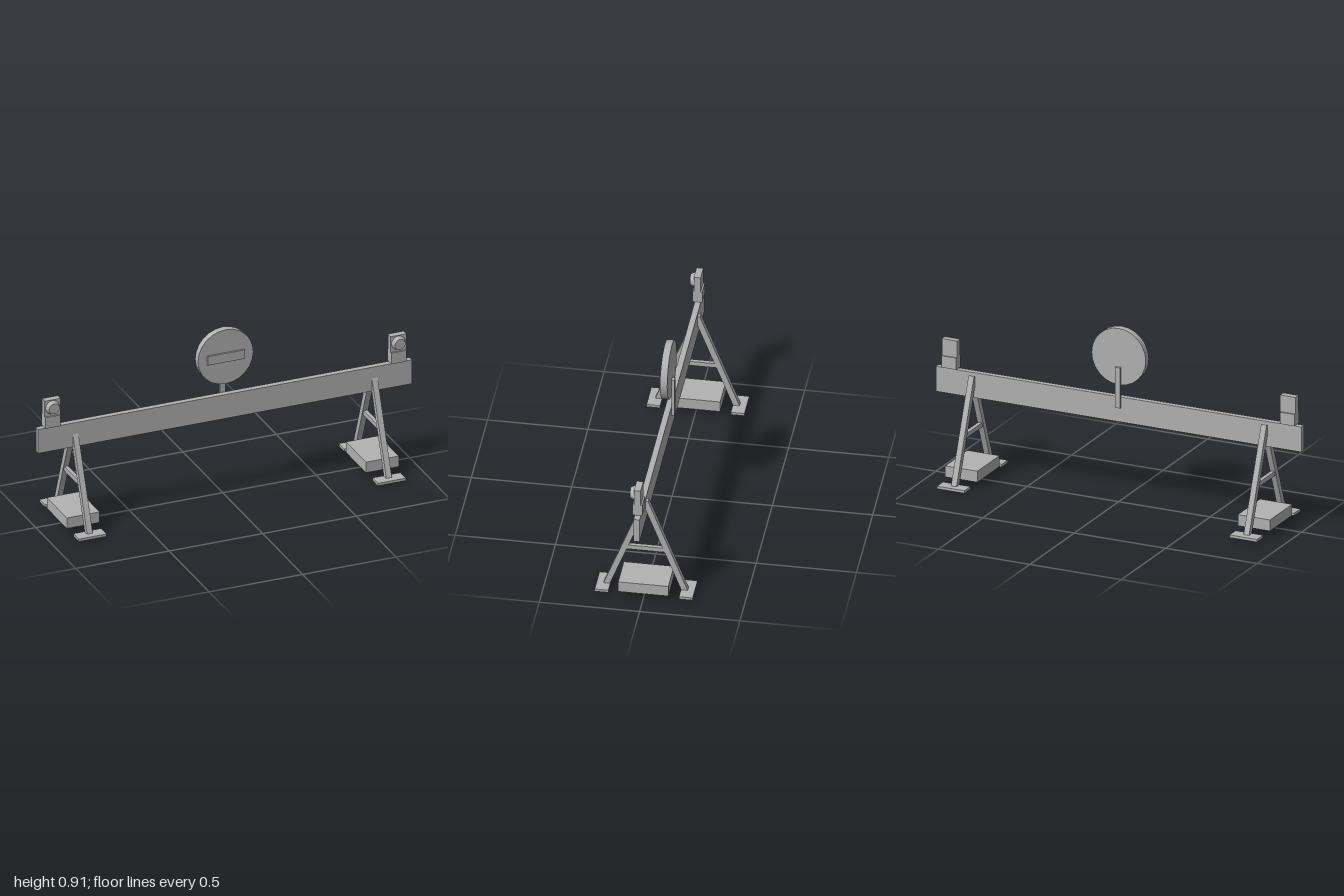
import * as THREE from 'three';

export function createModel() {
  const root = new THREE.Group();
  root.name = 'roadBarrier';
  const grey = new THREE.MeshStandardMaterial({ color: 0xb2b2b2 });
  grey.name = 'plain grey';

  const add = (parent, name, geometry, x = 0, y = 0, z = 0) => {
    const mesh = new THREE.Mesh(geometry, grey);
    mesh.name = name;
    mesh.position.set(x, y, z);
    parent.add(mesh);
    return mesh;
  };
  // Box given by its centre x, width, and y and z ranges
  const box = (parent, name, x, w, y0, y1, z0, z1) =>
    add(parent, name, new THREE.BoxGeometry(w, y1 - y0, z1 - z0), x, (y0 + y1) / 2, (z0 + z1) / 2);

  // Long horizontal board
  box(root, 'beam', 0, 2, 0.419, 0.55, 0, 0.03);

  // Round sign on a post behind the board
  const sign = new THREE.Group();
  sign.name = 'sign';
  root.add(sign);
  box(sign, 'signPost', 0, 0.028, 0.495, 0.706, -0.014, 0);
  const disc = new THREE.CylinderGeometry(0.148, 0.148, 0.036, 24).rotateX(Math.PI / 2);
  add(sign, 'signDisc', disc, 0, 0.76, 0.018);
  box(sign, 'signBar', 0, 0.2, 0.735, 0.783, 0.036, 0.046);

  for (const side of [1, -1]) {
    const label = side > 0 ? 'left' : 'right';

    // Warning lamp on the end of the board
    const lamp = new THREE.Group();
    lamp.name = label + 'Lamp';
    lamp.position.x = side * 0.925;
    root.add(lamp);
    box(lamp, 'lampBase', 0, 0.08, 0.552, 0.613, -0.008, 0.041);
    box(lamp, 'lampHousing', 0, 0.084, 0.613, 0.7, 0, 0.034);
    const lens = new THREE.CylinderGeometry(0.028, 0.037, 0.022, 20).rotateX(Math.PI / 2);
    add(lamp, 'lampLens', lens, 0, 0.659, 0.045);

    // A-frame trestle with feet, brace and ballast block
    const trestle = new THREE.Group();
    trestle.name = label + 'Trestle';
    trestle.position.x = side * 0.8;
    root.add(trestle);
    for (const end of [1, -1]) {
      const top = new THREE.Vector3(0, 0.53, -0.002 * end);
      const foot = new THREE.Vector3(0, 0.0055, 0.2 * end);
      const leg = add(trestle, end > 0 ? 'frontLeg' : 'rearLeg',
        new THREE.BoxGeometry(0.03, top.distanceTo(foot), 0.03));
      leg.position.copy(top).add(foot).multiplyScalar(0.5);
      leg.rotation.x = Math.atan2(top.z - foot.z, top.y - foot.y);
      add(trestle, end > 0 ? 'frontFoot' : 'rearFoot',
        new THREE.BoxGeometry(0.15, 0.014, 0.068), 0, 0.015, 0.21 * end);
    }
    box(trestle, 'brace', 0, 0.02, 0.235, 0.259, -0.095, 0.095);
    box(trestle, 'ballast', 0, 0.176, 0.029, 0.087, -0.125, 0.125);
  }
  return root;
}
